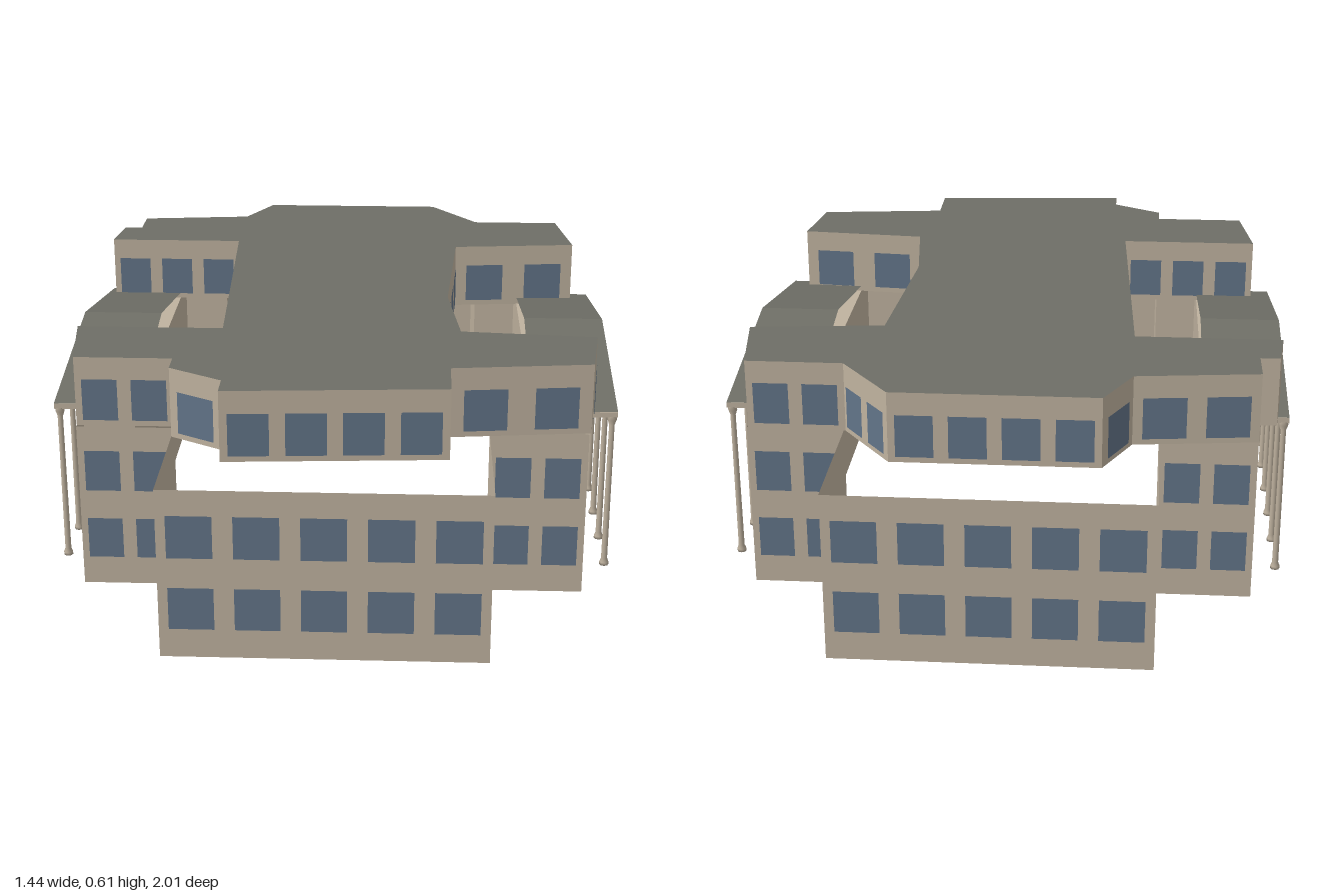
import * as THREE from 'three';

const material = (name, color, side = THREE.FrontSide) => {
  const m = new THREE.MeshStandardMaterial({ color, side });
  m.name = name;
  return m;
};

const FLOOR = 0.432;   // top of the lower walls
const ROOF = 0.612;    // flat roof level

// Outlines as [x, z], running so that every wall faces outward
const quarter = [[0.39, 1], [0.39, 0.63], [0.635, 0.63], [0.635, 0.53], [0.505, 0.53]];
const back = quarter.map(([x, z]) => [x, -z]).reverse();
const lowerOutline = [
  ...quarter, ...back,
  ...quarter.map(([x, z]) => [-x, -z]),
  ...back.map(([x, z]) => [-x, -z]),
];
const upperOutline = [
  [-0.255, -0.81], [0.255, -0.81], [0.385, -0.635], [0.63, -0.635], [0.665, -0.4],
  [0.32, -0.365], [0.29, 0.11], [0.32, 0.39], [0.665, 0.42], [0.64, 0.62],
  [0.29, 0.66], [0.29, 0.8], [-0.255, 0.835], [-0.255, 0.765], [-0.39, 0.685],
  [-0.39, 0.62], [-0.635, 0.62], [-0.665, 0.39], [-0.29, 0.39], [-0.325, -0.4],
  [-0.7, -0.4], [-0.685, -0.53], [-0.635, -0.53], [-0.635, -0.635], [-0.325, -0.67],
].reverse();

export function createModel() {
  const wallMat = material('beige wall', 0xbfb29f, THREE.DoubleSide);
  const glassMat = material('blue grey glass', 0x627488);
  const roofMat = material('grey roof', 0x6e6e66, THREE.DoubleSide);

  const model = new THREE.Group();
  model.name = 'building';

  const add = (parent, name, geometry, mat, x = 0, y = 0, z = 0) => {
    const mesh = new THREE.Mesh(geometry, mat);
    mesh.name = name;
    mesh.position.set(x, y, z);
    parent.add(mesh);
    return mesh;
  };

  // One straight wall with evenly spaced windows in the given rows
  function addWall(parent, a, b, y0, y1, rows) {
    const dx = b[0] - a[0], dz = b[1] - a[1];
    const length = Math.hypot(dx, dz);
    const wall = new THREE.Group();
    wall.name = 'wallSection';
    wall.position.set((a[0] + b[0]) / 2, 0, (a[1] + b[1]) / 2);
    wall.rotation.y = Math.atan2(-dz, dx);
    parent.add(wall);
    add(wall, 'wall', new THREE.PlaneGeometry(length, y1 - y0), wallMat, 0, (y0 + y1) / 2, 0);
    if (length < 0.135) return;
    const count = Math.round(length / 0.145);
    const pitch = length / count;
    const width = Math.min(0.108, pitch * 0.72);
    for (const [bottom, top] of rows) {
      for (let i = 0; i < count; i++) {
        add(wall, 'window', new THREE.PlaneGeometry(width, top - bottom), glassMat,
          (i + 0.5 - count / 2) * pitch, (bottom + top) / 2, 0.003);
      }
    }
  }

  function addStorey(name, outline, y0, y1, rows) {
    const storey = new THREE.Group();
    storey.name = name;
    model.add(storey);
    outline.forEach((p, i) =>
      addWall(storey, p, outline[(i + 1) % outline.length], y0, y1, rows));
  }

  addStorey('lowerWalls', lowerOutline, 0, FLOOR, [[0.075, 0.183], [0.26, 0.368]]);
  addStorey('upperWalls', upperOutline, FLOOR, ROOF, [[0.447, 0.555]]);

  // Flat roof following the upper walls
  const roofShape = new THREE.Shape(upperOutline.map(([x, z]) => new THREE.Vector2(x, -z)));
  add(model, 'flatRoof', new THREE.ShapeGeometry(roofShape).rotateX(-Math.PI / 2), roofMat, 0, ROOF, 0);

  // Column turned from one profile, flared at foot and head
  const columnGeo = new THREE.LatheGeometry([
    [0, 0], [0.012, 0], [0.012, 0.008], [0.008, 0.018],
    [0.007, 0.395], [0.012, 0.41], [0.012, 0.42],
  ].map(([r, y]) => new THREE.Vector2(r, y)), 8);

  // Gabled portico on each long side; the inner gable end stays open
  const inner = 0.505, outer = 0.72, halfSpan = 0.48, ridge = 0.517;
  const depth = outer - inner;
  const slopeLength = Math.hypot(halfSpan, ridge - FLOOR);
  const pitchAngle = Math.atan2(ridge - FLOOR, halfSpan);
  const gableShape = new THREE.Shape([
    new THREE.Vector2(-halfSpan, FLOOR), new THREE.Vector2(halfSpan, FLOOR), new THREE.Vector2(0, ridge),
  ]);
  for (const side of [1, -1]) {
    const portico = new THREE.Group();
    portico.name = side > 0 ? 'leftPortico' : 'rightPortico';
    portico.rotation.y = side > 0 ? 0 : Math.PI;
    model.add(portico);

    const midX = (inner + outer) / 2;
    add(portico, 'soffit', new THREE.BoxGeometry(depth, 0.014, halfSpan * 2), wallMat, midX, FLOOR - 0.007, 0);
    add(portico, 'gable', new THREE.ShapeGeometry(gableShape).rotateY(Math.PI / 2), wallMat, outer - 0.001, 0, 0);
    for (const s of [1, -1]) {
      const slope = new THREE.PlaneGeometry(depth, slopeLength).rotateX(-Math.PI / 2 + s * pitchAngle);
      add(portico, 'roofSlope', slope, roofMat, midX, (FLOOR + ridge) / 2 + 0.001, s * halfSpan / 2);
    }
    for (let i = -3; i <= 3; i++) {
      add(portico, 'column', columnGeo, wallMat, 0.707, 0, i * 0.157);
    }
    add(portico, 'door', new THREE.PlaneGeometry(0.074, 0.08).rotateY(Math.PI / 2), glassMat, inner + 0.003, 0.04, 0);
  }
  return model;
}
